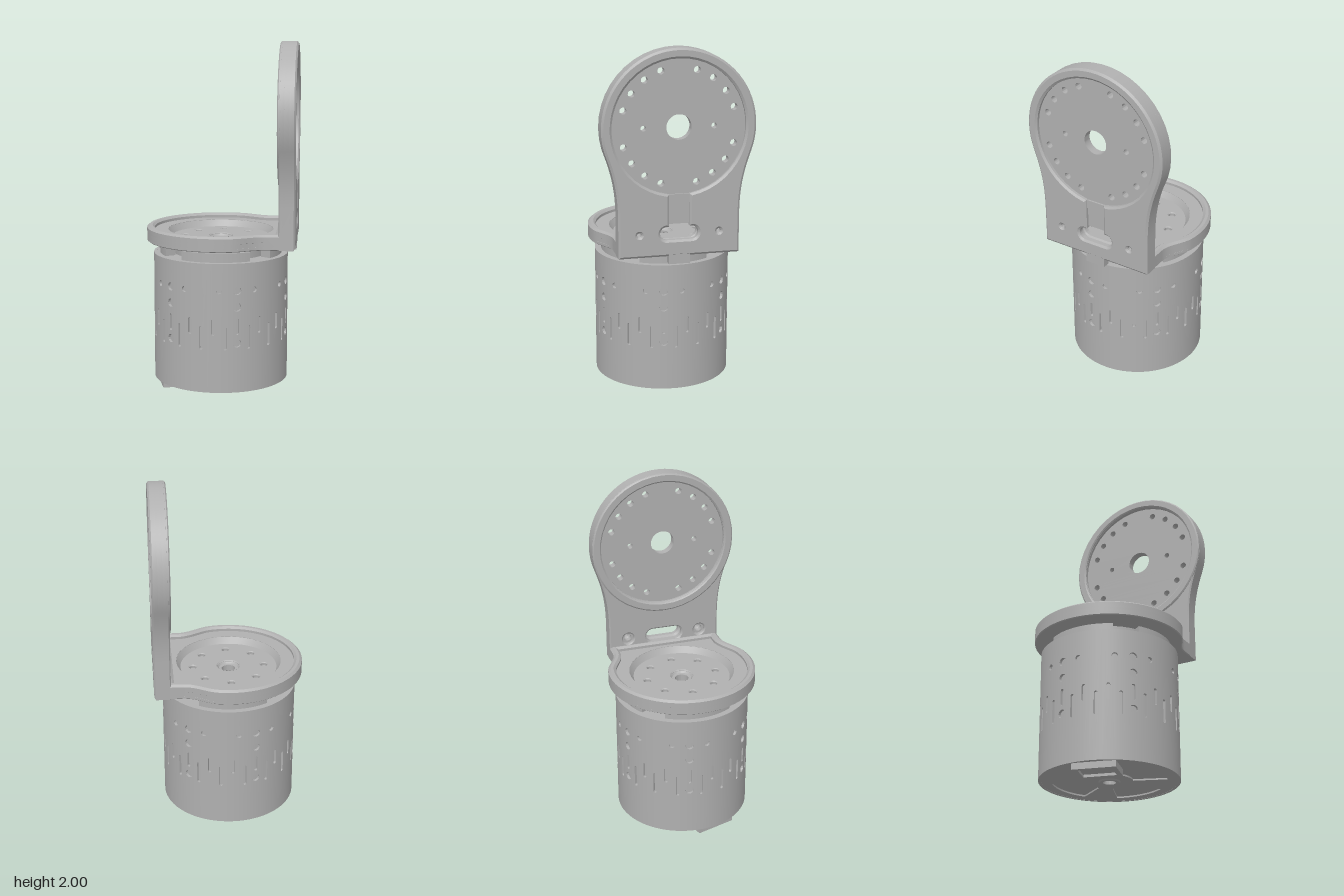
import * as THREE from 'three';
import { toCreasedNormals } from 'three/addons/utils/BufferGeometryUtils.js';

const metal = new THREE.MeshStandardMaterial({ color: 0xb0b0b0, side: THREE.DoubleSide });
metal.name = 'grey metal';
const CX = -0.012; // axis of the motor
const RAD = Math.PI / 180;

function add(parent, name, geometry, x = 0, y = 0, z = 0) {
  const mesh = new THREE.Mesh(geometry, metal);
  mesh.name = name;
  mesh.position.set(x, y, z);
  parent.add(mesh);
  return mesh;
}

// ---- shape helpers ----
function circle(x, y, r, Type = THREE.Path) {
  return new Type().absarc(x, y, r, 0, Math.PI * 2, false);
}
function rectangle(w, h, Type = THREE.Path) {
  return new Type().moveTo(-w, -h).lineTo(w, -h).lineTo(w, h).lineTo(-w, h);
}
function sector(r0, r1, mid, half, Type = THREE.Path) {
  return new Type().absarc(0, 0, r1, mid - half, mid + half, false)
    .absarc(0, 0, r0, mid + half, mid - half, true);
}
function obround(x, y, w, h) { // upright slot: half width w, half height h
  return new THREE.Path().absarc(x, y + h - w, w, 0, Math.PI, false)
    .absarc(x, y - h + w, w, Math.PI, Math.PI * 2, false);
}
// Round head flowing through a concave neck into a straight foot
function paddle(r, w, foot, start, drop, Type = THREE.Shape) {
  const s = start * RAD, px = r * Math.cos(s), py = -r * Math.sin(s);
  const gap = drop + py, k = gap * 0.35, tx = px - k * Math.sin(s), ty = py - k * Math.cos(s);
  return new Type().moveTo(w, -foot).lineTo(w, -drop)
    .bezierCurveTo(w, -drop + gap * 0.4, tx, ty, px, py)
    .absarc(0, 0, r, -s, Math.PI + s, false)
    .bezierCurveTo(-tx, ty, -w, -drop + gap * 0.4, -w, -drop)
    .lineTo(-w, -foot);
}
// Slab from a to b; the shape is the end face, the middle grows by the chamfer
function slab(shape, holes, a, b, chamfer = 0) {
  shape.holes.push(...holes);
  const t = chamfer * 0.8;
  const g = new THREE.ExtrudeGeometry(shape, {
    depth: b - a - 2 * t, curveSegments: 22, bevelEnabled: chamfer > 0,
    bevelThickness: t, bevelSize: chamfer, bevelSegments: 1,
  }).translate(0, 0, a + t);
  return toCreasedNormals(g, 0.5);
}
const lying = (g) => g.rotateX(-Math.PI / 2);
const lathe = (pts) => toCreasedNormals(
  new THREE.LatheGeometry(pts.map(([r, y]) => new THREE.Vector2(r, y)), 48), 0.5);

// ---- motor housing ----
function housingPanel(a0, a1, holes, r, y0, y1, depth) {
  const u = (a1 - a0) / 2 * RAD * r, mid = (a0 + a1) / 2 * RAD;
  const shape = new THREE.Shape().moveTo(-u, y0).lineTo(0, y0).lineTo(u, y0)
    .lineTo(u, y1).lineTo(0, y1).lineTo(-u, y1);
  shape.holes.push(...holes);
  const g = new THREE.ExtrudeGeometry(shape, { depth, bevelEnabled: false, curveSegments: 6 });
  const flat = g.attributes.normal.clone(), p = g.attributes.position;
  for (let i = 0; i < p.count; i++) {
    const a = mid + p.getX(i) / r, rr = r - depth + p.getZ(i);
    p.setXYZ(i, Math.sin(a) * rr, p.getY(i), Math.cos(a) * rr);
  }
  g.computeVertexNormals();
  for (let i = 0; i < p.count; i++) { // round shading on the curved faces
    if (Math.abs(flat.getZ(i)) > 0.9) {
      const s = flat.getZ(i) / Math.hypot(p.getX(i), p.getZ(i));
      g.attributes.normal.setXYZ(i, p.getX(i) * s, 0, p.getZ(i) * s);
    }
  }
  return g;
}

function buildMotor() {
  const motor = new THREE.Group();
  motor.name = 'motor';
  motor.position.x = CX;
  const R = 0.393, deep = 0.016;

  // Curved skin: screw columns every 60 degrees with staggered vent slots between
  const high = () => obround(0, 0.418, 0.01, 0.048);
  const low = () => obround(0, 0.353, 0.01, 0.068);
  const edges = [-5, 5, 12, 18, 25, 35, 42, 48, 55];
  const off = (i, a) => (a - (edges[i] + edges[i + 1]) / 2) * RAD * R;
  const shifted = (make, y, h, i, a) => obround(off(i, a), y, 0.01, h);
  for (let k = 0; k < 6; k++) {
    const cut = [
      [high(), circle(0, 0.625, 0.024), circle(0, 0.53, 0.024), circle(0, 0.322, 0.024)],
      [shifted(low, 0.353, 0.068, 1, 10)],
      [circle(0, 0.625, 0.017)],
      [shifted(high, 0.418, 0.048, 3, 20)],
      [low()],
      [shifted(high, 0.418, 0.048, 5, 40)],
      [circle(0, 0.625, 0.017)],
      [shifted(low, 0.353, 0.068, 7, 50)],
    ];
    cut.forEach((holes, i) => {
      const base = 19 + k * 60;
      add(motor, 'housingSkin',
        housingPanel(base + edges[i], base + edges[i + 1], holes, R, 0.035, 0.78, deep));
    });
  }
  const c = R - deep + 0.001;
  add(motor, 'housingCore', lathe([[0.04, 0.045], [c, 0.045], [c, 0.779], [0.04, 0.779], [0.04, 0.045]]));

  // Bottom cover with three shallow fan-shaped pockets
  const pockets = [84, 174, -6].map((t) => sector(0.13, 0.32, (t - 90) * RAD, 28 * RAD));
  add(motor, 'bottomCover', lying(slab(circle(0, 0, 0.385, THREE.Shape), [circle(0, 0, 0.04), ...pockets], 0.036, 0.047)));
  add(motor, 'bottomBoss', lathe([[0.036, 0.05], [0.036, 0.03], [0.055, 0.03], [0.062, 0.037]]));

  // Cable socket under the housing
  const socket = new THREE.Group();
  socket.name = 'cableSocket';
  socket.position.set(-0.268, 0, 0.08);
  socket.rotation.y = Math.PI + 0.284;
  add(socket, 'socketFrame', lying(slab(rectangle(0.085, 0.12, THREE.Shape), [rectangle(0.06, 0.092)], 0, 0.04)));
  add(socket, 'socketFloor', new THREE.BoxGeometry(0.13, 0.02, 0.19), 0, 0.025, 0);
  motor.add(socket);

  // Rotor neck and the arc blocks around it
  add(motor, 'rotorNeck', lathe([[0.04, 0.775], [0.28, 0.775], [0.28, 0.855], [0.04, 0.855], [0.04, 0.775]]));
  for (let i = 0; i < 4; i++) {
    add(motor, 'neckBlock', lying(slab(sector(0.295, 0.357, i * Math.PI / 2, 33 * RAD, THREE.Shape), [], 0.775, 0.832)));
  }
  return motor;
}

// ---- flat arm carried by the rotor ----
function buildArm() {
  const arm = new THREE.Group();
  arm.name = 'rotorPlate';
  arm.position.x = CX;
  const outline = (inset, foot = 0.385) => paddle(0.432 - inset, 0.342 - inset, foot, 12, 0.29);
  const turn = (g) => lying(g.rotateZ(Math.PI / 2));
  const bolts = [];
  for (let i = 0; i < 8; i++) {
    bolts.push(circle(0.21 * Math.cos(i * Math.PI / 4), 0.21 * Math.sin(i * Math.PI / 4), 0.026));
  }
  add(arm, 'plateFloor', turn(slab(outline(0.006), [circle(0, 0, 0.07), ...bolts], 0.85, 0.874, 0.006)));
  add(arm, 'plateStep', turn(slab(outline(0), [circle(0, 0, 0.308)], 0.86, 0.912)));
  add(arm, 'plateRim', turn(slab(outline(0.014), [paddle(0.4, 0.31, 0.347, 12, 0.29, THREE.Path)], 0.885, 0.938, 0.014)));
  add(arm, 'recessSlope', lathe([[0.283, 0.873], [0.309, 0.912]]));
  add(arm, 'centreSeat', lathe([[0.042, 0.856], [0.056, 0.858], [0.07, 0.8745]]));
  return arm;
}

// ---- upright bracket plate ----
function buildBracket() {
  const bracket = new THREE.Group();
  bracket.name = 'uprightBracket';
  bracket.position.y = 1.57;
  const side = (g) => g.rotateY(Math.PI / 2);
  const outline = (inset) => paddle(0.43 - inset, 0.342 - inset, 0.72 - inset, 20, 0.5);
  const slotY = -0.59;
  const slot = () => new THREE.Path().absarc(-0.07, slotY, 0.05, Math.PI / 2, Math.PI * 1.5, false)
    .absarc(0.07, slotY, 0.05, -Math.PI / 2, Math.PI / 2, false);
  const screws = (r) => [-0.225, 0.225].map((x) => circle(x, slotY, r));

  // Web with the ring of through holes (none at the quarter points)
  const holes = [circle(0, 0, 0.07), circle(-0.197, 0, 0.016), circle(0.197, 0, 0.016), slot(), ...screws(0.022)];
  for (let i = 0; i < 20; i++) {
    if (i % 5) holes.push(circle(0.323 * Math.cos(i * 18 * RAD), 0.323 * Math.sin(i * 18 * RAD), 0.019));
  }
  add(bracket, 'bracketWeb', side(slab(outline(0), holes, 0.362, 0.41)));

  // Outer face: round recess joined by a channel to the slot
  const a = Math.asin(0.07 / 0.385);
  const keyhole = new THREE.Path().absarc(0, 0, 0.385, -Math.PI / 2 + a, Math.PI * 1.5 - a, false)
    .lineTo(-0.07, slotY + 0.05)
    .absarc(-0.07, slotY, 0.05, Math.PI / 2, Math.PI * 1.5, false)
    .absarc(0.07, slotY, 0.05, -Math.PI / 2, Math.PI / 2, false);
  add(bracket, 'outerFace', side(slab(outline(0.012), [keyhole, ...screws(0.024)], 0.39, 0.435, 0.012)));
  add(bracket, 'channelStep', new THREE.BoxGeometry(0.02, 0.05, 0.14), 0.41, -0.395, 0);

  // Inner face with counterbored screws and a slightly proud ring
  add(bracket, 'innerFace', side(slab(outline(0.008), [circle(0, 0, 0.385), slot(), ...screws(0.042)], 0.34, 0.378, 0.008)));
  add(bracket, 'innerRing', side(slab(circle(0, 0, 0.422, THREE.Shape), [circle(0, 0, 0.387)], 0.332, 0.36, 0.008)));

  // Locating tab below the foot
  add(bracket, 'locatingTab', new THREE.BoxGeometry(0.044, 0.07, 0.12), 0.412, -0.73, 0);
  return bracket;
}

export function createModel() {
  const model = new THREE.Group();
  model.name = 'motorWithBracket';
  model.add(buildMotor(), buildArm(), buildBracket());
  return model;
}
